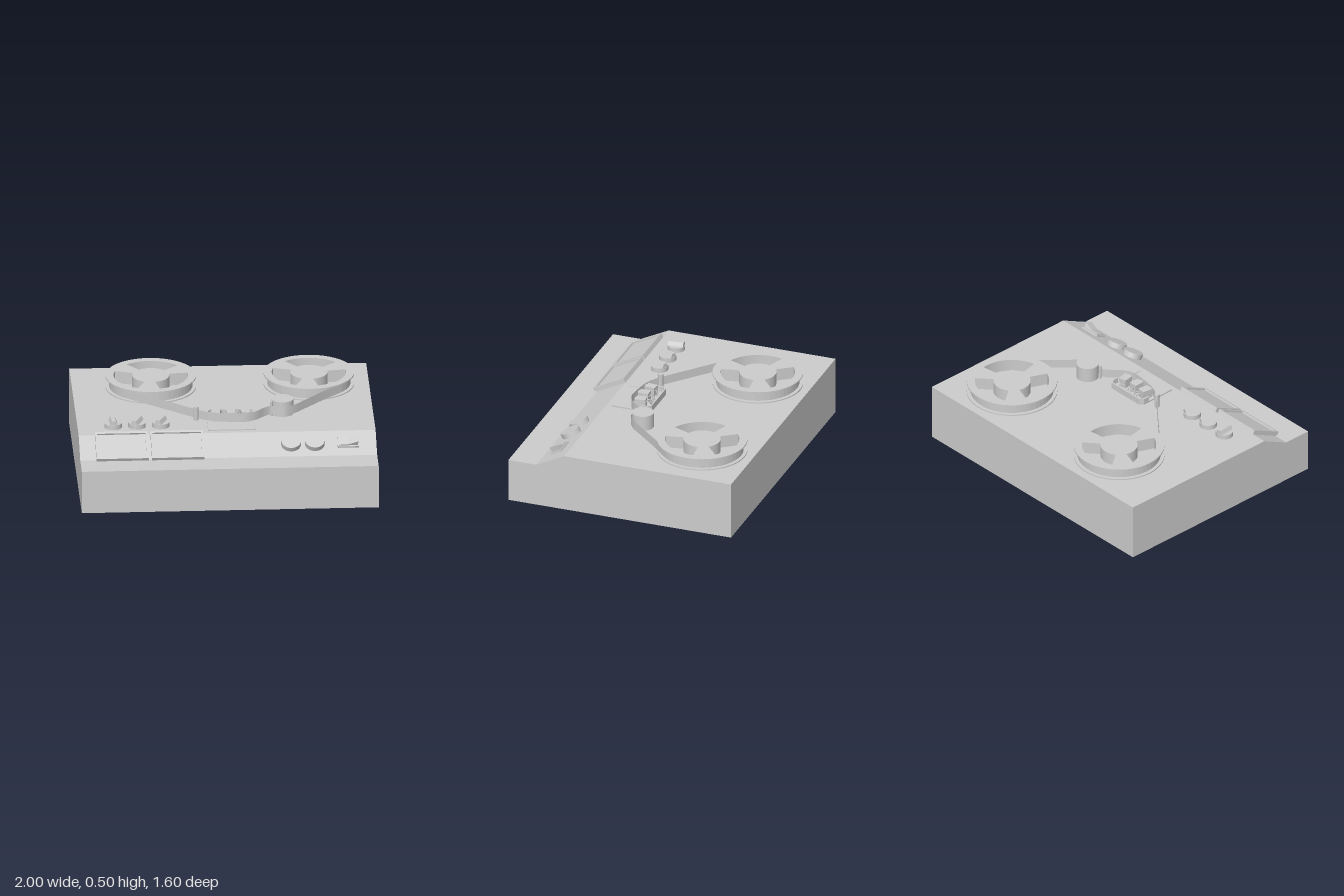
import * as THREE from 'three';

const DECK = 0.4;
const SLOPE = Math.atan2(0.1, 0.2);

export function createModel() {
  const model = new THREE.Group();
  const grey = new THREE.MeshStandardMaterial({ color: 0xcccccc });
  const thin = new THREE.MeshStandardMaterial({ color: 0xcccccc, side: THREE.DoubleSide });

  const add = (parent, name, geo, x = 0, y = 0, z = 0, material = grey) => {
    const mesh = new THREE.Mesh(geo, material);
    mesh.name = name;
    mesh.position.set(x, y, z);
    parent.add(mesh);
    return mesh;
  };
  const group = (name, x, y, z, parent = model) => {
    const g = new THREE.Group();
    g.name = name;
    g.position.set(x, y, z);
    parent.add(g);
    return g;
  };
  const polygon = pts => new THREE.Shape(pts.map(p => new THREE.Vector2(...p)));
  const extrude = (shape, depth) =>
    new THREE.ExtrudeGeometry(shape, { depth, bevelEnabled: false, curveSegments: 24 });
  // Plan shape (x, -z) raised upwards
  const slab = (shape, height) => extrude(shape, height).rotateX(-Math.PI / 2);
  const disc = (r, h, sides = 40) => new THREE.CylinderGeometry(r, r, h, sides).translate(0, h / 2, 0);

  // Cabinet: side profile (z, y) extruded across the width
  const profile = [[0.8, 0], [0.8, 0.3], [0.6, 0.3], [0.4, DECK], [-0.8, DECK], [-0.8, 0]];
  add(model, 'cabinet', extrude(polygon(profile), 2).rotateY(-Math.PI / 2), 1, 0, 0);

  // Reels: a wound drum between two flanges, pierced by three windows
  const windowedDisc = radius => {
    const shape = new THREE.Shape().absarc(0, 0, radius, 0, Math.PI * 2, false);
    for (let i = 0; i < 3; i++) {
      const mid = THREE.MathUtils.degToRad(84 + i * 120);
      const half = THREE.MathUtils.degToRad(43);
      const hole = new THREE.Path();
      hole.absarc(0, 0, 0.25, mid - half, mid + half, false);
      hole.absarc(0, 0, 0.125, mid + half, mid - half, true);
      hole.closePath();
      shape.holes.push(hole);
    }
    return shape;
  };
  for (const [name, x] of [['rightReel', -0.47], ['leftReel', 0.595]]) {
    const reel = group(name, x, DECK, -0.44);
    add(reel, 'lowerFlange', slab(windowedDisc(0.305), 0.008), 0, 0.004, 0);
    add(reel, 'drum', slab(windowedDisc(0.28), 0.068), 0, 0.012, 0);
    add(reel, 'upperFlange', slab(windowedDisc(0.305), 0.009), 0, 0.08, 0);
  }

  // Tape: an upright ribbon following a path across the deck
  const path = new THREE.CatmullRomCurve3([
    [-0.65, -0.226], [-0.42, -0.035], [-0.21, 0.14], [-0.17, 0.17], [-0.1, 0.21], [0.03, 0.235],
    [0.13, 0.24], [0.2, 0.21], [0.27, 0.14], [0.31, 0.118], [0.35, 0.128], [0.4, 0.142],
    [0.46, 0.11], [0.55, 0.015], [0.68, -0.128], [0.8, -0.248],
  ].map(([x, z]) => new THREE.Vector3(x, 0, z)));
  const steps = 90;
  const ribbon = new THREE.PlaneGeometry(1, 0.062, steps, 1);
  const pos = ribbon.attributes.position;
  for (let i = 0; i < pos.count; i++) {
    const p = path.getPoint((i % (steps + 1)) / steps);
    pos.setXYZ(i, p.x, pos.getY(i), p.z);
  }
  ribbon.computeVertexNormals();
  add(model, 'tape', ribbon, 0, 0.443, 0, thin);

  // Tape guides and capstan
  add(model, 'guidePost', disc(0.017, 0.096, 20), -0.197, DECK, 0.155);
  add(model, 'thinGuidePost', disc(0.009, 0.1, 16), 0.314, DECK, 0.107);
  add(model, 'capstan', disc(0.075, 0.105), 0.39, DECK, 0.062);

  // Head assembly: base plate, low chamfered wall, three heads with leads
  const heads = group('headAssembly', 0.035, DECK, 0);
  add(heads, 'basePlate', slab(polygon([
    [-0.16, -0.36], [0.16, -0.36], [0.16, -0.105], [0.135, -0.08], [-0.135, -0.08], [-0.16, -0.105],
  ]), 0.007));
  add(heads, 'rearWall', slab(polygon([
    [-0.16, -0.15], [-0.16, -0.105], [-0.135, -0.08], [0.135, -0.08], [0.16, -0.105], [0.16, -0.15],
    [0.15, -0.15], [0.15, -0.109], [0.131, -0.09], [-0.131, -0.09], [-0.15, -0.109], [-0.15, -0.15],
  ]), 0.045));
  for (const side of [-1, 1])
    add(heads, 'sideRail', new THREE.BoxGeometry(0.008, 0.01, 0.21), side * 0.156, 0.005, 0.255);
  for (const i of [-1, 0, 1]) {
    const head = group('head', i * 0.098, 0.007, i ? 0.172 : 0.184, heads);
    head.rotation.y = i * 0.15;
    add(head, 'headBlock', new THREE.BoxGeometry(0.058, 0.062, 0.072), 0, 0.031, 0);
    add(head, 'headFace', new THREE.CylinderGeometry(0.025, 0.025, 0.056, 16), 0, 0.03, 0.022);
    for (const s of [-1, 1]) {
      const lead = new THREE.CatmullRomCurve3([
        new THREE.Vector3(s * 0.014, 0.035, -0.03),
        new THREE.Vector3(s * 0.014 - i * 0.01, 0.045, -0.055),
        new THREE.Vector3(s * 0.012 - i * 0.03, 0.005, -0.07),
      ]);
      add(head, 'lead', new THREE.TubeGeometry(lead, 10, 0.004, 6));
    }
  }

  // Selector knobs: disc with a tapered grip across it
  const grip = polygon([[-0.026, 0], [0.026, 0], [0.013, 0.028], [-0.013, 0.028]]);
  for (const [x, turn] of [[-0.76, 0.08], [-0.6, -0.42], [-0.44, -0.42]]) {
    const knob = group('selectorKnob', x, DECK, 0.255);
    knob.rotation.y = turn;
    add(knob, 'knobDisc', disc(0.059, 0.032));
    add(knob, 'knobGrip', extrude(grip, 0.108).translate(0, 0, -0.054), 0, 0.032, 0);
  }

  // Sloped control panel: local y is the panel normal, z runs down the slope
  const panel = group('controlPanel', 0, 0.35, 0.5);
  panel.rotation.x = SLOPE;

  // Level meters: raised frame around a recessed face
  for (const x of [-0.715, -0.341]) {
    const meter = group('levelMeter', x, 0, 0.007, panel);
    const rect = (w, h) => [[-w, -h], [w, -h], [w, h], [-w, h]];
    const frame = polygon(rect(0.176, 0.122));
    frame.holes.push(new THREE.Path(rect(0.162, 0.104).map(p => new THREE.Vector2(...p))));
    add(meter, 'meterFrame', slab(frame, 0.032));
    add(meter, 'meterFace', new THREE.BoxGeometry(0.328, 0.02, 0.212), 0, 0.01, 0);
  }

  // Round buttons
  for (const x of [0.425, 0.585])
    add(panel, 'roundButton', disc(0.067, 0.036), x, 0, 0);

  // Rocker switch: base plate and a rocker tilted up at one end
  const rocker = group('rockerSwitch', 0.81, 0, 0, panel);
  add(rocker, 'switchBase', new THREE.BoxGeometry(0.144, 0.012, 0.084), 0, 0.006, 0);
  const wedge = polygon([[-0.062, 0.01], [0.062, 0.01], [0.068, 0.05], [0, 0.022], [-0.062, 0.018]]);
  add(rocker, 'switchRocker', extrude(wedge, 0.064), 0, 0, -0.032);

  return model;
}
